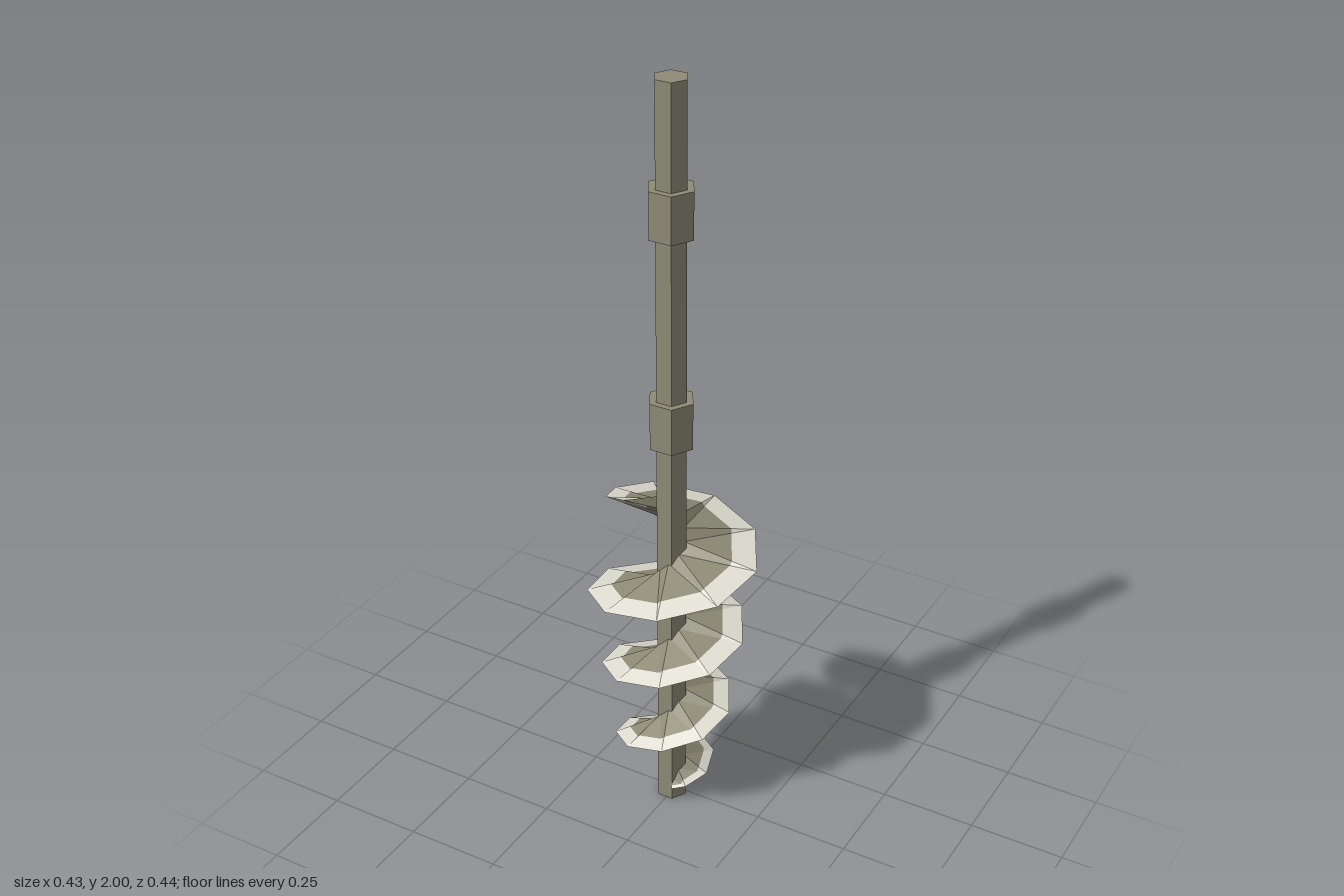
import * as THREE from 'three';

export function createModel() {
  const group = new THREE.Group();
  const steel = new THREE.MeshStandardMaterial({ color: 0x8f8c77, flatShading: true });
  steel.name = 'dull steel';
  const worn = new THREE.MeshStandardMaterial({ color: 0xe2e0d4, flatShading: true });
  worn.name = 'bright worn edge';

  // Hexagonal shaft and its two collars
  const cx = -0.004, cz = 0.012;
  const hex = (name, radius, y0, y1) => {
    const geo = new THREE.CylinderGeometry(radius, radius, y1 - y0, 6);
    geo.rotateY(Math.PI / 6);
    const mesh = new THREE.Mesh(geo, steel);
    mesh.position.set(cx, (y0 + y1) / 2, cz);
    mesh.name = name;
    group.add(mesh);
  };
  hex('shaft', 0.042, 0, 2);
  hex('lowerCollar', 0.06, 1.07, 1.195);
  hex('upperCollar', 0.06, 1.62, 1.74);

  // Stations of the spiral blade, bottom to top: angle from the back, rim height,
  // rim radius, rise to the upper root, rise to the lower root, start of the worn rim
  const stations = [
    [148, 0.04, 0.052, 0.02, 0, 0.66], [119, 0.058, 0.075, 0.035, 0, 0.66],
    [79, 0.078, 0.1, 0.045, 0, 0.66], [39, 0.096, 0.122, 0.048, 0, 0.66],
  ];
  for (let k = 27; k >= -1; k--) {
    const y = 0.796 - 0.0251 * k;
    stations.push([40 * k - 1, y, 0.117 + 0.145 * y, 0.048, -0.004, 0.66]);
  }
  // The blade runs out at the top
  stations.push(
    [-73, 0.853, 0.205, 0.04, -0.01, 0.66],
    [-99, 0.88, 0.173, 0.025, -0.015, 0.66],
    [-124, 0.912, 0.116, 0.008, -0.025, 0.3],
  );

  const at = (deg, y, r) => {
    const a = THREE.MathUtils.degToRad(deg);
    return new THREE.Vector3(-0.007 + r * Math.sin(a), y, cz - r * Math.cos(a));
  };
  const outer = stations.map(([deg, y, r]) => at(deg, y, r));
  const upperRoot = stations.map(([deg, y, , up]) => at(deg, y + up, 0.035));
  const lowerRoot = stations.map(([deg, y, , , low]) => at(deg, y + low, 0.035));

  const core = [], rim = [];
  const tri = (list, ...pts) => pts.forEach((p) => list.push(p.x, p.y, p.z));

  // Each step is a wide triangle and a steep sliver, split where the worn rim begins
  const addSheet = (root, flip) => {
    const face = (list, p, q, r) => (flip ? tri(list, p, r, q) : tri(list, p, q, r));
    for (let i = 1; i < stations.length; i++) {
      const a = root[i - 1], b = outer[i - 1], c = outer[i], d = root[i];
      const ab = a.clone().lerp(b, stations[i - 1][5]);
      const ac = a.clone().lerp(c, stations[i][5]);
      const dc = d.clone().lerp(c, stations[i][5]);
      face(core, a, ab, ac);
      face(rim, ab, b, c);
      face(rim, ab, c, ac);
      face(core, a, ac, dc);
      face(core, a, dc, d);
      face(rim, ac, c, dc);
    }
  };
  addSheet(upperRoot, false);
  addSheet(lowerRoot, true);

  // Close the two ends of the wedge-shaped blade
  const last = stations.length - 1;
  tri(core, upperRoot[0], lowerRoot[0], outer[0]);
  tri(core, upperRoot[last], outer[last], lowerRoot[last]);

  const addBlade = (name, list, material) => {
    const geo = new THREE.BufferGeometry();
    geo.setAttribute('position', new THREE.Float32BufferAttribute(list, 3));
    geo.computeVertexNormals();
    const mesh = new THREE.Mesh(geo, material);
    mesh.name = name;
    group.add(mesh);
  };
  addBlade('spiralBlade', core, steel);
  addBlade('spiralBladeRim', rim, worn);

  return group;
}
